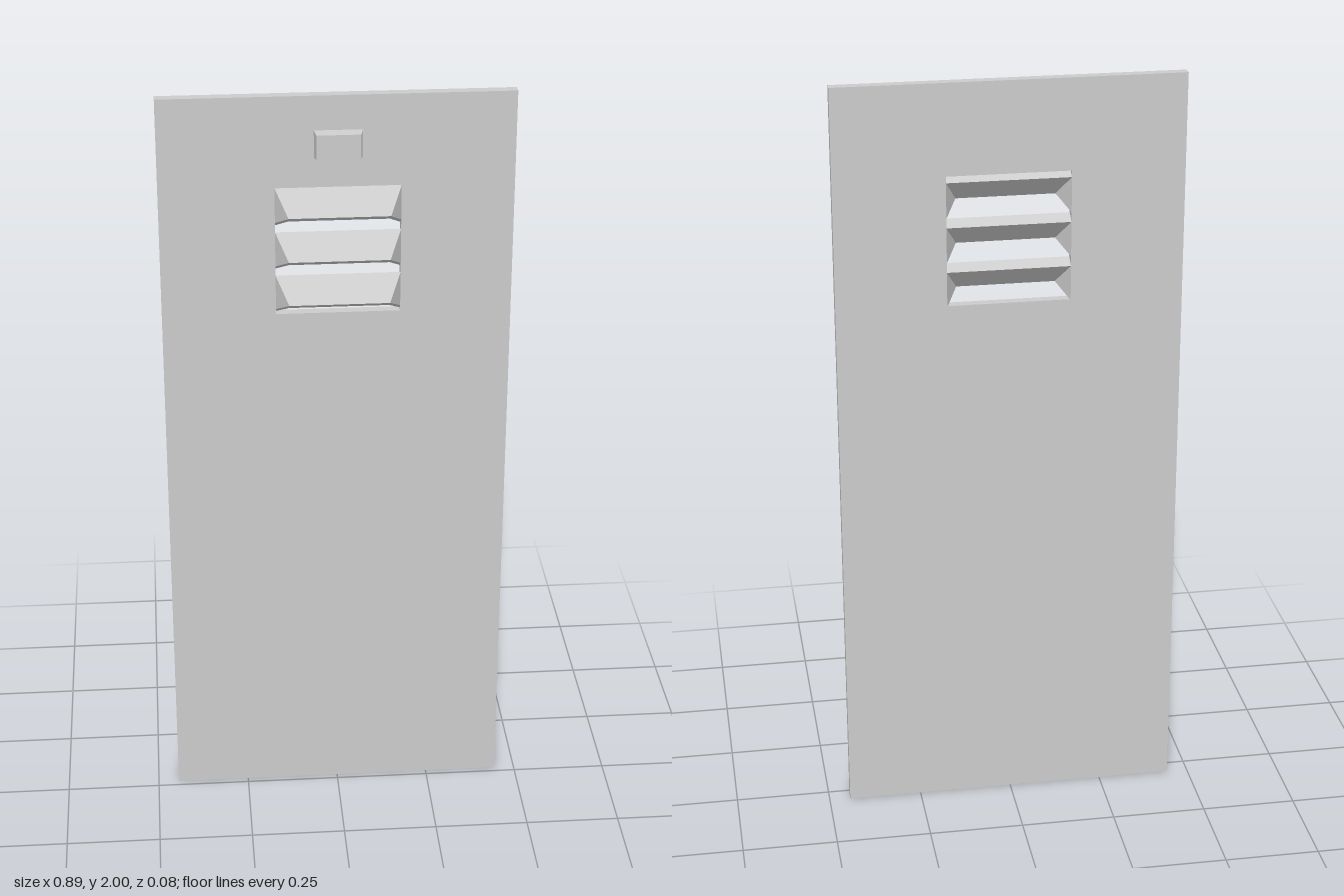
import * as THREE from 'three';

const material = new THREE.MeshStandardMaterial({ color: 0xcccccc, flatShading: true });
const BACK = -0.043, FRONT = -0.017;          // panel faces
const CX = 0.003;                             // louvres and plate sit slightly off centre
const HOLE_HALF = 0.158, HOLE_TOP = 1.763, HOLE_BOTTOM = 1.423;

function mesh(name, geometry) {
  const m = new THREE.Mesh(geometry, material);
  m.name = name;
  return m;
}

// Flat-shaded geometry from a list of polygons (each a loop of points)
function fromPolygons(polygons) {
  const pos = [];
  for (const p of polygons)
    for (let i = 1; i < p.length - 1; i++) pos.push(...p[0], ...p[i], ...p[i + 1]);
  const g = new THREE.BufferGeometry();
  g.setAttribute('position', new THREE.Float32BufferAttribute(pos, 3));
  g.computeVertexNormals();
  return g;
}

// Door panel with a rectangular vent opening
function panelGeometry() {
  const rect = (path, x0, x1, y0, y1) =>
    path.moveTo(x0, y0).lineTo(x1, y0).lineTo(x1, y1).lineTo(x0, y1).closePath();
  const shape = rect(new THREE.Shape(), -0.444, 0.444, 0, 2);
  shape.holes.push(rect(new THREE.Path(), CX - HOLE_HALF, CX + HOLE_HALF, HOLE_BOTTOM, HOLE_TOP));
  return new THREE.ExtrudeGeometry(shape, { depth: FRONT - BACK, bevelEnabled: false })
    .translate(0, 0, BACK);
}

// Louvre hood: sloping top and two tapered cheeks, open below, origin at its top edge
function louvreGeometry() {
  const wide = HOLE_HALF, narrow = 0.127;
  const corner = (side) => ({
    a: [side * wide, 0, FRONT],
    b: [side * narrow, -0.059, 0.041],
    e: [side * wide, -0.092, FRONT],
  });
  const l = corner(-1), r = corner(1);
  const outer = [[l.a, l.b, r.b, r.a], [l.a, l.e, l.b], [r.a, r.b, r.e]];
  // The sheet's inside is the same skin moved back and down
  const inside = ([x, y, z]) => [x, y - 0.017, z - (FRONT - BACK)];
  const inner = outer.map((f) => f.map(inside).reverse());
  const edge = [l.a, l.e, l.b, r.b, r.e, r.a];
  const rim = edge.map((p, i) => {
    const q = edge[(i + 1) % edge.length];
    return [q, p, inside(p), inside(q)];
  });
  return fromPolygons([...outer, ...inner, ...rim]);
}

// Small plate, slightly narrower at its front face
function plateGeometry() {
  const g = new THREE.BoxGeometry(0.12, 0.07, 0.028);
  const p = g.attributes.position;
  for (let i = 0; i < p.count; i++)
    if (p.getZ(i) > 0) p.setXY(i, p.getX(i) * 0.92, p.getY(i) * 0.9);
  g.computeVertexNormals();
  return g;
}

export function createModel() {
  const model = new THREE.Group();
  model.name = 'lockerDoor';
  model.add(mesh('doorPanel', panelGeometry()));

  const louvres = new THREE.Group();
  louvres.name = 'louvres';
  const hood = louvreGeometry();
  for (let i = 0; i < 3; i++) {
    const m = mesh('louvre', hood);
    m.position.set(CX, HOLE_TOP - i * 0.117, 0);
    louvres.add(m);
  }
  model.add(louvres);

  const plate = mesh('numberPlate', plateGeometry());
  plate.position.set(CX, 1.876, FRONT + 0.014);
  model.add(plate);
  return model;
}
